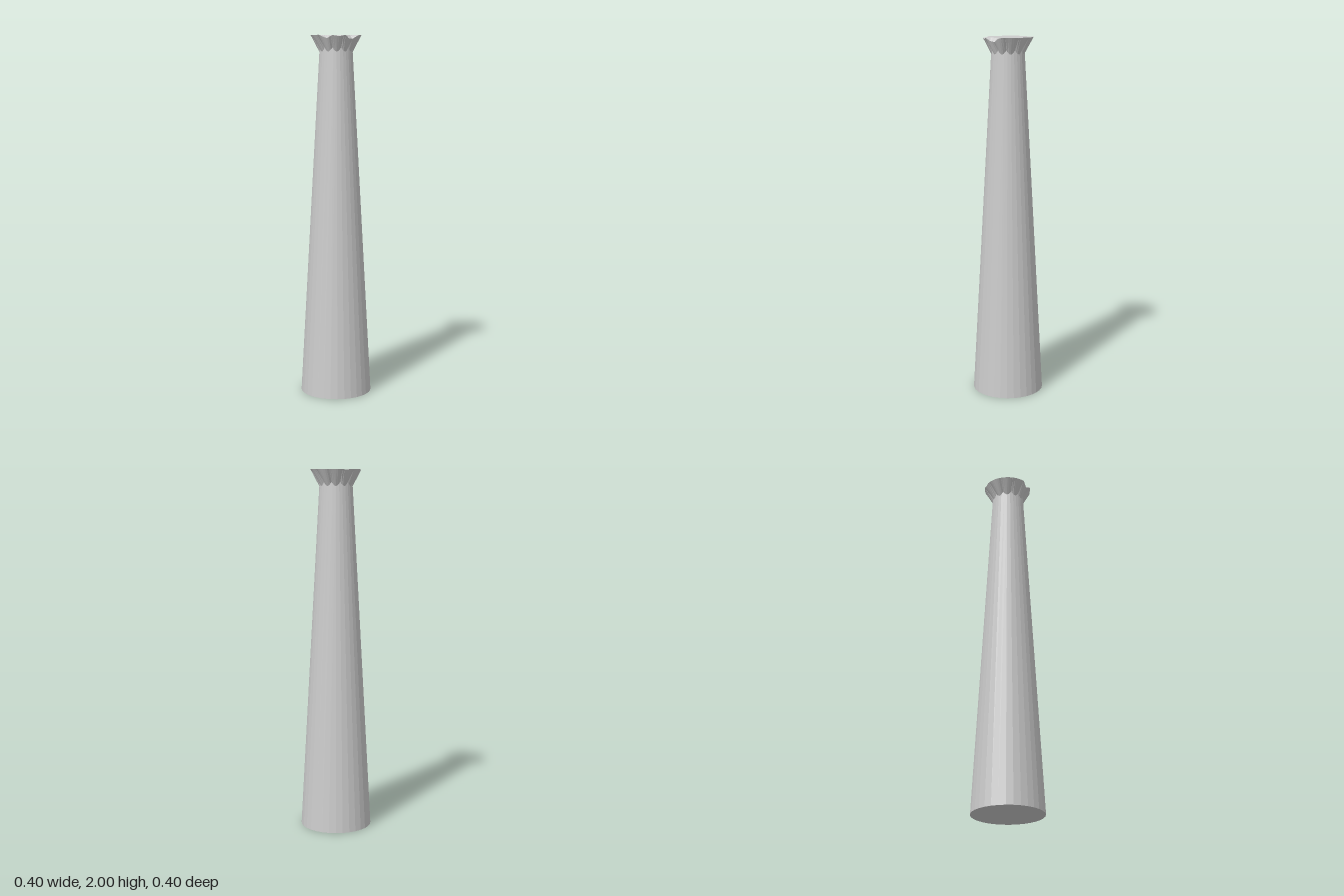
import * as THREE from 'three';

const TAU = Math.PI * 2;
const SHAFT_SIDES = 32;
const RIM_STEPS = 72;
const LOBES = 12;
const RIM_R = 0.139;
const FOOT_R = 0.198;
const NECK_R = 0.09;
const NECK_Y = 1.935;

// Chipped rim: [angle in degrees, radius], measured from +x towards +z
const CHIPS = [
  [0, RIM_R], [65, RIM_R], [77, 0.136], [90, 0.12], [104, 0.122], [114, 0.137],
  [130, 0.131], [146, 0.136], [161, 0.122], [180, 0.138], [281, RIM_R],
  [287, 0.136], [293, 0.136], [300, RIM_R], [360, RIM_R],
];

function rimRadius(deg) {
  const i = Math.max(1, CHIPS.findIndex(([a]) => a >= deg));
  const [a0, r0] = CHIPS[i - 1];
  const [a1, r1] = CHIPS[i];
  return THREE.MathUtils.lerp(r0, r1, (deg - a0) / (a1 - a0));
}

const shaftRadius = (y) => THREE.MathUtils.lerp(FOOT_R, NECK_R, y / NECK_Y);

// Flat-shaded surface through a list of rings of equal length
function skin(rings) {
  const pos = [];
  const tri = (...pts) => pts.forEach((p) => pos.push(p.x, p.y, p.z));
  for (let k = 0; k < rings.length - 1; k++) {
    const lower = rings[k], upper = rings[k + 1], n = lower.length;
    for (let i = 0; i < n; i++) {
      const j = (i + 1) % n;
      tri(lower[i], upper[i], upper[j]);
      tri(lower[i], upper[j], lower[j]);
    }
  }
  const g = new THREE.BufferGeometry();
  g.setAttribute('position', new THREE.Float32BufferAttribute(pos, 3));
  g.computeVertexNormals();
  return g;
}

// Ring whose radius and height are rules of the angle
function ring(rule) {
  return Array.from({ length: RIM_STEPS }, (_, i) => {
    const t = i / RIM_STEPS;
    const [r, y] = rule(t);
    return new THREE.Vector3(r * Math.cos(t * TAU), y, r * Math.sin(t * TAU));
  });
}

export function createModel() {
  const group = new THREE.Group();
  group.name = 'brokenColumn';
  const material = new THREE.MeshStandardMaterial({
    color: 0xcccccc, flatShading: true, side: THREE.DoubleSide,
  });
  const add = (name, geometry) => {
    const mesh = new THREE.Mesh(geometry, material);
    mesh.name = name;
    group.add(mesh);
    return mesh;
  };

  // Tapered shaft
  add('shaft', new THREE.CylinderGeometry(NECK_R, FOOT_R, NECK_Y, SHAFT_SIDES))
    .position.y = NECK_Y / 2;

  // Flared capital with a scalloped lower edge and chipped rim
  const scallops = ring((t) => {
    const y = 1.932 - 0.022 * Math.abs(Math.sin(t * LOBES * Math.PI));
    return [shaftRadius(y), y];
  });
  const rimY = (r) => 2 - (RIM_R - r) * 1.2;
  const rim = ring((t) => {
    const r = rimRadius(t * 360);
    return [r, rimY(r)];
  });
  add('capital', skin([scallops, rim]));

  // Worn top surface, sloping down into the chips
  const inner = ring((t) => [rimRadius(t * 360) * 0.85, 1.998]);
  const centre = ring(() => [0.001, 1.998]);
  add('topSurface', skin([rim, inner, centre]));

  return group;
}
